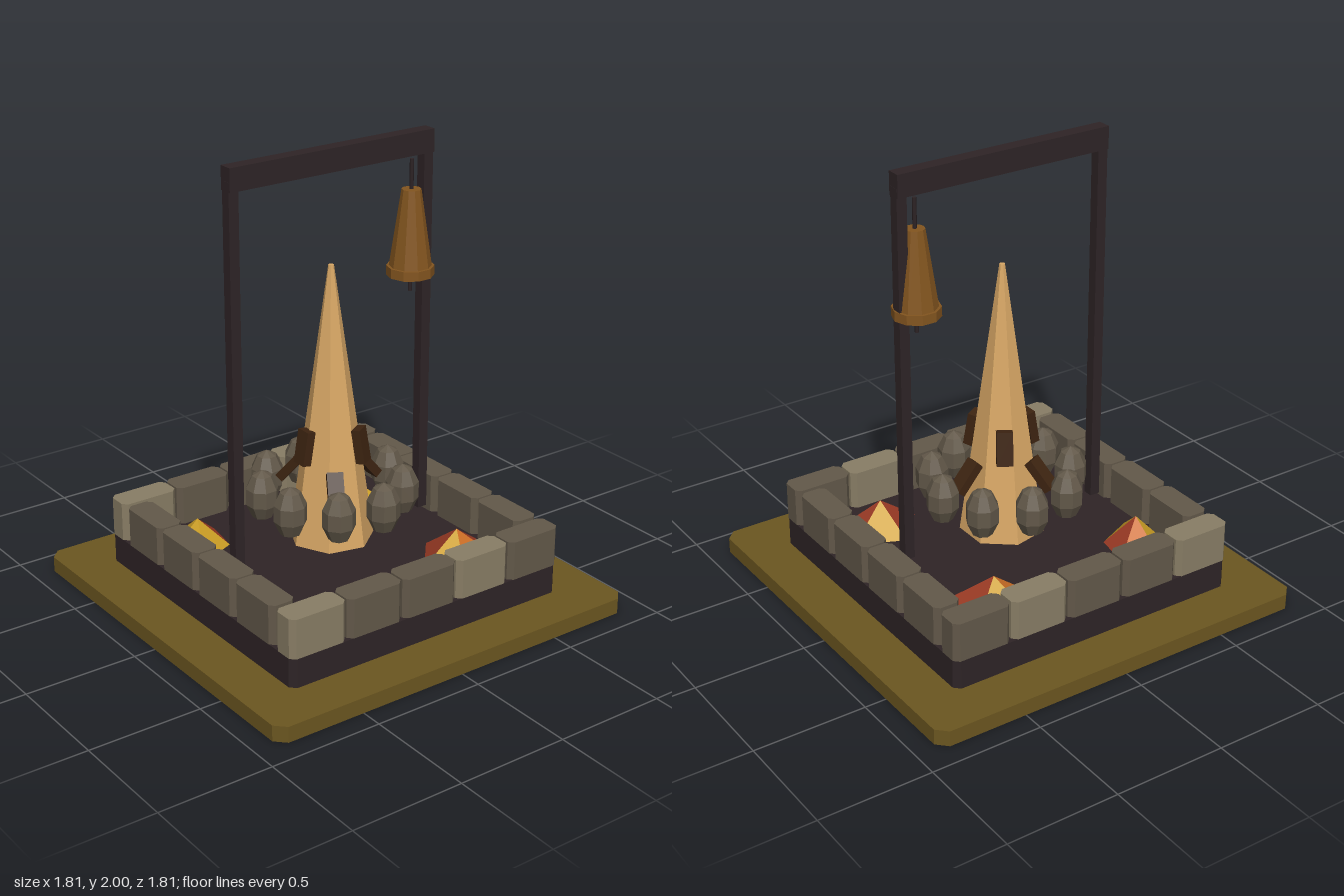
import * as THREE from 'three';

function mat(name, color) {
  const m = new THREE.MeshStandardMaterial({ color });
  m.name = name;
  return m;
}

// Square-cornered slab with its vertical edges cut off, standing on y = 0
function slab(w, d, h, c) {
  const x = w / 2, z = d / 2;
  const pts = [[-x + c, -z], [x - c, -z], [x, -z + c], [x, z - c], [x - c, z], [-x + c, z], [-x, z - c], [-x, -z + c]];
  const shape = new THREE.Shape(pts.map(p => new THREE.Vector2(p[0], p[1])));
  const g = new THREE.ExtrudeGeometry(shape, { depth: h, bevelEnabled: false });
  return g.rotateX(-Math.PI / 2);
}

export function createModel() {
  const root = new THREE.Group();
  root.name = 'shrine';

  const ground = mat('olive ground', 0x6b5620);
  const dark = mat('dark timber', 0x2e2426);
  const stone = mat('grey stone', 0x625849);
  const paleStone = mat('pale stone', 0x887d65);
  const wood = mat('pale wood', 0xd8a765);
  const plank = mat('dark brown', 0x3d2411);
  const bronze = mat('bronze', 0x83551f);
  const gold = mat('gold', 0xcb9e25);
  const orange = mat('orange', 0xca6d25);
  const red = mat('red', 0x9c3b25);
  bronze.flatShading = wood.flatShading = stone.flatShading = true;

  function add(name, geometry, material, x = 0, y = 0, z = 0, parent = root) {
    const m = new THREE.Mesh(geometry, material);
    m.name = name;
    m.position.set(x, y, z);
    parent.add(m);
    return m;
  }

  // Ground and plinth
  add('ground', slab(1.806, 1.806, 0.07, 0.045), ground);
  add('plinth', slab(1.386, 1.386, 0.13, 0.025), dark, 0, 0.07, 0);

  // Low wall: five stones along front and back, four along each side
  const longStone = slab(0.27, 0.12, 0.175, 0.022);
  const sideStone = slab(0.12, 0.27, 0.175, 0.022);
  for (const s of [-1, 1]) {
    for (let i = 0; i < 5; i++)
      add('wallStone', longStone, i % 3 === 0 ? paleStone : stone, (i - 2) * 0.2795, 0.2, s * 0.634);
    for (let i = 0; i < 4; i++)
      add('wallStone', sideStone, stone, s * 0.634, 0.2, (i - 1.5) * 0.2795);
  }

  // Seven-sided spire
  add('spire', new THREE.CylinderGeometry(0.012, 0.187, 1.235, 7, 1, false, -Math.PI / 2), wood, 0, 0.265 + 1.235 / 2, 0);

  // Planks leaning on the spire: three steep ones above three slanted ones
  function leaningPlank(angle, radius, y, tilt) {
    const pivot = new THREE.Group();
    pivot.name = 'leaningPlank';
    pivot.rotation.y = angle;
    root.add(pivot);
    add('plank', new THREE.BoxGeometry(0.04, 0.15, 0.07), plank, radius, y, 0, pivot).rotation.z = tilt;
  }
  for (let i = 0; i < 3; i++) {
    const a = i * Math.PI * 2 / 3;
    leaningPlank(a + Math.PI / 3, 0.138, 0.715, 0.17);
    leaningPlank(a, 0.185, 0.56, 0.7);
  }

  // Ring of nine egg-shaped stones
  const egg = new THREE.SphereGeometry(1, 8, 5).scale(0.075, 0.118, 0.075);
  for (let i = 0; i < 9; i++) {
    const a = i * Math.PI * 2 / 9;
    add('eggStone', egg, stone, 0.305 * Math.cos(a), 0.493, 0.305 * Math.sin(a)).rotation.y = -a;
  }

  // Gate frame
  for (const s of [-1, 1])
    add('post', new THREE.BoxGeometry(0.046, 1.67, 0.046), dark, s * 0.486, 0.27 + 0.835, 0);
  add('beam', new THREE.BoxGeometry(1.016, 0.1, 0.062), dark, 0, 1.95, 0);

  // Hanging bell
  const bell = new THREE.Group();
  bell.name = 'bell';
  bell.position.x = 0.415;
  root.add(bell);
  add('bellBody', new THREE.CylinderGeometry(0.042, 0.092, 0.34, 10, 1, false, Math.PI / 2), bronze, 0, 1.58, 0, bell);
  add('bellRim', new THREE.CylinderGeometry(0.103, 0.103, 0.042, 10, 1, false, Math.PI / 2), bronze, 0, 1.394, 0, bell);
  add('bellRod', new THREE.CylinderGeometry(0.009, 0.009, 0.58, 6), dark, 0, 1.59, 0, bell);

  // Ember heaps: five-sided pyramids, one colour per facet
  function emberHeap(apex, ring, colours) {
    const pos = [];
    ring.forEach((p, i) => {
      const q = ring[(i + 1) % ring.length];
      pos.push(apex[0], 0.33, apex[1], q[0], 0.2, q[1], p[0], 0.2, p[1]);
    });
    const g = new THREE.BufferGeometry();
    g.setAttribute('position', new THREE.Float32BufferAttribute(pos, 3));
    g.computeVertexNormals();
    colours.forEach((c, i) => g.addGroup(i * 3, 3, i));
    add('emberHeap', g, colours);
  }
  emberHeap([-0.455, -0.36],
    [[-0.465, -0.52], [-0.31, -0.45], [-0.34, -0.285], [-0.515, -0.205], [-0.575, -0.375]],
    [orange, red, gold, gold, gold]);
  emberHeap([0.325, -0.415],
    [[0.25, -0.585], [0.475, -0.52], [0.485, -0.285], [0.25, -0.255], [0.155, -0.415]],
    [gold, red, gold, red, orange]);
  emberHeap([0.39, 0.38],
    [[0.36, 0.21], [0.565, 0.305], [0.53, 0.48], [0.32, 0.53], [0.213, 0.383]],
    [gold, red, orange, gold, red]);

  return root;
}
